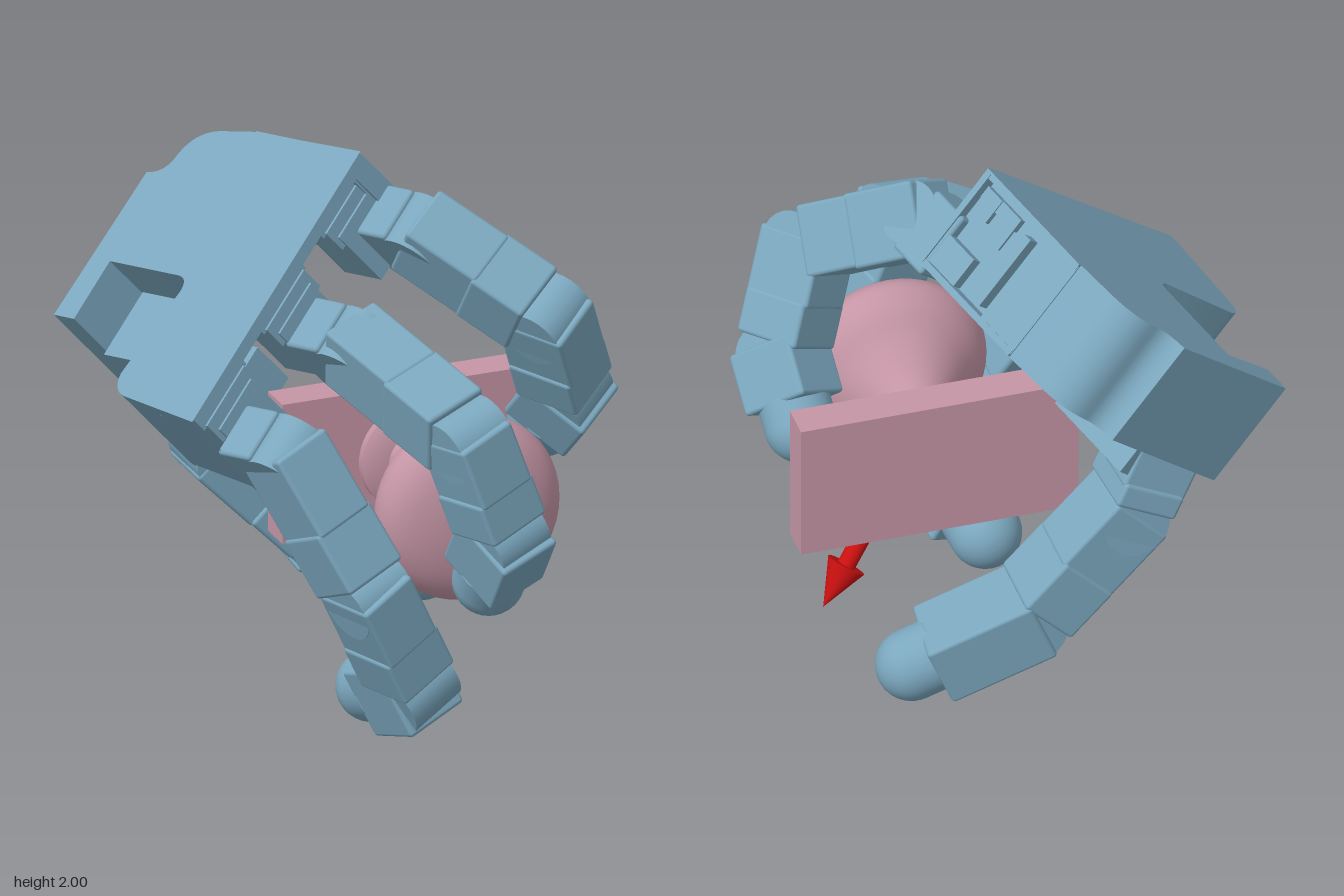
import * as THREE from 'three';
import { toCreasedNormals } from 'three/addons/utils/BufferGeometryUtils.js';
import { RoundedBoxGeometry } from 'three/addons/geometries/RoundedBoxGeometry.js';

const V = (x, y, z) => new THREE.Vector3(x, y, z);
const blue = new THREE.MeshStandardMaterial({ color: 0x7ba7be });
const pink = new THREE.MeshStandardMaterial({ color: 0xc495a5 });
const red = new THREE.MeshStandardMaterial({ color: 0xcc1010 });

// Hand frame: x across the knuckles, y towards the wrist, z from back to palm
const palmDir = V(0.655, -0.75, -0.088).normalize();
const wristDir = palmDir.clone().cross(V(-0.685, -0.645, 0.345)).normalize();
const across = wristDir.clone().cross(palmDir);
const TIP = 0.13;

function add(parent, name, geometry, material, position) {
  const mesh = new THREE.Mesh(geometry, material);
  mesh.name = name;
  if (position) mesh.position.copy(position);
  parent.add(mesh);
  return mesh;
}

// Group at p with y pointing to q and x along the hinge axis
function frame(p, q, axis) {
  const g = new THREE.Group();
  const y = q.clone().sub(p).normalize();
  const x = axis.clone().addScaledVector(y, -axis.dot(y)).normalize();
  g.quaternion.setFromRotationMatrix(new THREE.Matrix4().makeBasis(x, y, x.clone().cross(y)));
  g.position.copy(p);
  return g;
}

// Housing running from y0 to y1 along a link
function housing(g, name, w, d, y0, y1) {
  add(g, name, new RoundedBoxGeometry(w, y1 - y0, d, 2, 0.015), blue, V(0, (y0 + y1) / 2, 0));
}

// Round pivot across a link
function hinge(g, r, w, y) {
  add(g, 'hinge', new THREE.CylinderGeometry(r, r, w, 24), blue, V(0, y, 0)).rotation.z = Math.PI / 2;
}

// Chain of links through the joints, ending in a round fingertip
function makeFinger(name, joints, axis, w, d) {
  const finger = new THREE.Group();
  finger.name = name;
  for (let i = 0; i < joints.length - 1; i++) {
    const p = joints[i], q = joints[i + 1], L = p.distanceTo(q);
    const link = frame(p, q, axis);
    link.name = 'link';
    finger.add(link);
    if (i < joints.length - 2) {
      const split = L * 0.5;
      housing(link, 'linkHousing', w * 0.93, d, -0.04, split);
      housing(link, 'motorHousing', w, d * 0.96, split - 0.02, L - 0.06);
      hinge(link, 0.12, w * 0.9, L);
    } else {
      housing(link, 'tipHousing', w, d, -0.05, L - 0.08);
      add(link, 'tipSleeve', new THREE.CylinderGeometry(TIP, TIP, 0.1, 32), blue, V(0, L - 0.05, 0));
      add(link, 'fingertip', new THREE.SphereGeometry(TIP, 32, 20), blue, V(0, L, 0));
    }
  }
  return finger;
}

function makePalm() {
  const palm = new THREE.Group();
  palm.name = 'palm';
  palm.position.set(0.04, 2.0, -0.09);
  palm.quaternion.setFromRotationMatrix(new THREE.Matrix4().makeBasis(across, wristDir, palmDir));

  // Outline with a curved wrist corner and a notch for the thumb
  const s = new THREE.Shape();
  s.moveTo(0, 0);
  s.lineTo(1.17, 0);
  s.lineTo(1.125, 0.41);
  s.quadraticCurveTo(1.11, 0.48, 1.04, 0.49);
  s.lineTo(0.68, 0.45);
  s.quadraticCurveTo(0.62, 0.45, 0.62, 0.51);
  s.lineTo(0.62, 0.88);
  s.lineTo(0.87, 0.88);
  s.lineTo(0.87, 0.99);
  s.lineTo(0.25, 0.97);
  s.quadraticCurveTo(0.24, 0.885, 0.17, 0.875);
  s.quadraticCurveTo(0.06, 0.86, 0.035, 0.74);
  s.lineTo(0.01, 0.57);
  s.closePath();
  const full = new THREE.ExtrudeGeometry(s, { depth: 0.42, bevelEnabled: false, curveSegments: 10 });

  // The shell is open along the knuckle edge and beside the index knuckle
  const src = full.attributes.position, kept = [];
  for (let i = 0; i < src.count; i += 3) {
    const every = (test) => [i, i + 1, i + 2].every(test);
    const open = every((k) => src.getY(k) < 1e-4) || every((k) => src.getX(k) < 0.0101 && src.getY(k) < 0.5701);
    if (!open) for (let k = i; k < i + 3; k++) kept.push(src.getX(k), src.getY(k), src.getZ(k));
  }
  const shell = new THREE.BufferGeometry();
  shell.setAttribute('position', new THREE.Float32BufferAttribute(kept, 3));
  add(palm, 'palmShell', toCreasedNormals(shell, 0.6), blue);

  const block = (name, w, h, d, x, y, z) =>
    add(palm, name, new THREE.BoxGeometry(w, h, d), blue, V(x, y, z));
  block('backRim', 1.15, 0.03, 0.05, 0.585, 0.016, 0.026);
  // Stepped knuckle mounts
  for (const a of [0.17, 0.585, 1.0]) {
    block('knuckleMount', 0.22, 0.2, 0.26, a, 0.12, 0.27);
    block('knuckleStep', 0.26, 0.2, 0.1, a, 0.13, 0.14);
    block('knuckleStep', 0.29, 0.2, 0.05, a, 0.14, 0.075);
  }
  // Recessed index side with its frame
  block('recessFloor', 0.04, 0.36, 0.4, 0.07, 0.2, 0.21);
  block('sideFrame', 0.08, 0.56, 0.025, 0.045, 0.285, 0.014);
  block('sideFrame', 0.08, 0.56, 0.025, 0.045, 0.285, 0.406);
  block('sideFrame', 0.08, 0.025, 0.4, 0.042, 0.02, 0.21);
  block('sidePanel', 0.08, 0.2, 0.4, 0.047, 0.469, 0.21);
  block('sideRib', 0.06, 0.035, 0.3, 0.035, 0.32, 0.22);
  block('sideRib', 0.06, 0.15, 0.12, 0.04, 0.12, 0.33);
  block('sideRib', 0.04, 0.08, 0.1, 0.04, 0.09, 0.1);
  // Thumb mount inside the notch
  block('thumbMount', 0.28, 0.4, 0.23, 0.75, 0.67, 0.305);
  block('thumbMountCap', 0.26, 0.4, 0.19, 0.77, 0.61, 0.49);
  return palm;
}

function makeKnob() {
  const knob = new THREE.Group();
  knob.name = 'doorKnob';
  add(knob, 'doorPanel', new THREE.BoxGeometry(1.02, 0.53, 0.135), pink, V(0.25, 0.82, -0.147));
  // Knob profile: radius and distance from the panel
  const flange = [[0, 0], [0.2, 0], [0.2, 0.03], [0.17, 0.05]];
  const curve = new THREE.SplineCurve([
    [0.11, 0.06], [0.1, 0.13], [0.14, 0.23], [0.23, 0.35], [0.31, 0.43], [0.345, 0.51],
    [0.32, 0.58], [0.25, 0.63], [0.13, 0.66], [0, 0.668],
  ].map((p) => new THREE.Vector2(...p)));
  const pts = flange.map((p) => new THREE.Vector2(...p)).concat(curve.getPoints(40));
  const lathe = toCreasedNormals(new THREE.LatheGeometry(pts, 48), 0.7);
  add(knob, 'knob', lathe, pink, V(0.23, 0.82, -0.08)).rotation.x = Math.PI / 2;
  return knob;
}

function makeArrow() {
  const a = V(0.27, 0.76, 0.04), b = V(0.65, 0.24, -0.12), L = a.distanceTo(b), head = 0.17;
  const arrow = frame(a, b, V(0, 0, 1));
  arrow.name = 'arrow';
  add(arrow, 'arrowShaft', new THREE.CylinderGeometry(0.033, 0.033, L - head, 24), red, V(0, (L - head) / 2, 0));
  add(arrow, 'arrowHead', new THREE.ConeGeometry(0.072, head, 24), red, V(0, L - head / 2, 0));
  return arrow;
}

export function createModel() {
  const model = new THREE.Group();
  model.name = 'robotHandOnKnob';
  model.add(makePalm(), makeKnob(), makeArrow());

  // Joint positions from the first hinge to the fingertip
  const fingers = {
    indexFinger: [V(0.22, 1.71, 0.06), V(0.56, 1.46, 0.37), V(0.7, 1.1, 0.22), V(0.685, 0.925, 0.035)],
    middleFinger: [V(-0.11, 1.4, 0.24), V(0.1, 1.22, 0.76), V(0.235, 0.83, 0.775), V(0.245, 0.605, 0.6)],
    outerFinger: [V(-0.44, 1.11, 0.42), V(-0.21, 0.62, 0.6), V(-0.02, 0.22, 0.56), V(-0.07, 0.13, 0.29)],
  };
  for (const [name, j] of Object.entries(fingers)) {
    const axis = j[1].clone().sub(j[0]).cross(j[3].clone().sub(j[2])).normalize();
    const finger = makeFinger(name, j, axis, 0.25, 0.27);
    // Short knuckle between the palm and the first hinge
    const root = j[0].clone().addScaledVector(wristDir, 0.17);
    const knuckle = frame(root, j[0], across);
    knuckle.name = 'knuckle';
    housing(knuckle, 'knuckleHousing', 0.21, 0.26, -0.03, 0.14);
    hinge(knuckle, 0.115, 0.21, 0.17);
    finger.add(knuckle);
    model.add(finger);
  }

  const thumb = [V(-0.45, 1.0, -0.53), V(-0.33, 0.76, -0.55), V(0.04, 0.38, -0.55), V(0.44, 0.21, -0.5)];
  model.add(makeFinger('thumb', thumb, V(0, 0, 1), 0.29, 0.25));
  return model;
}
